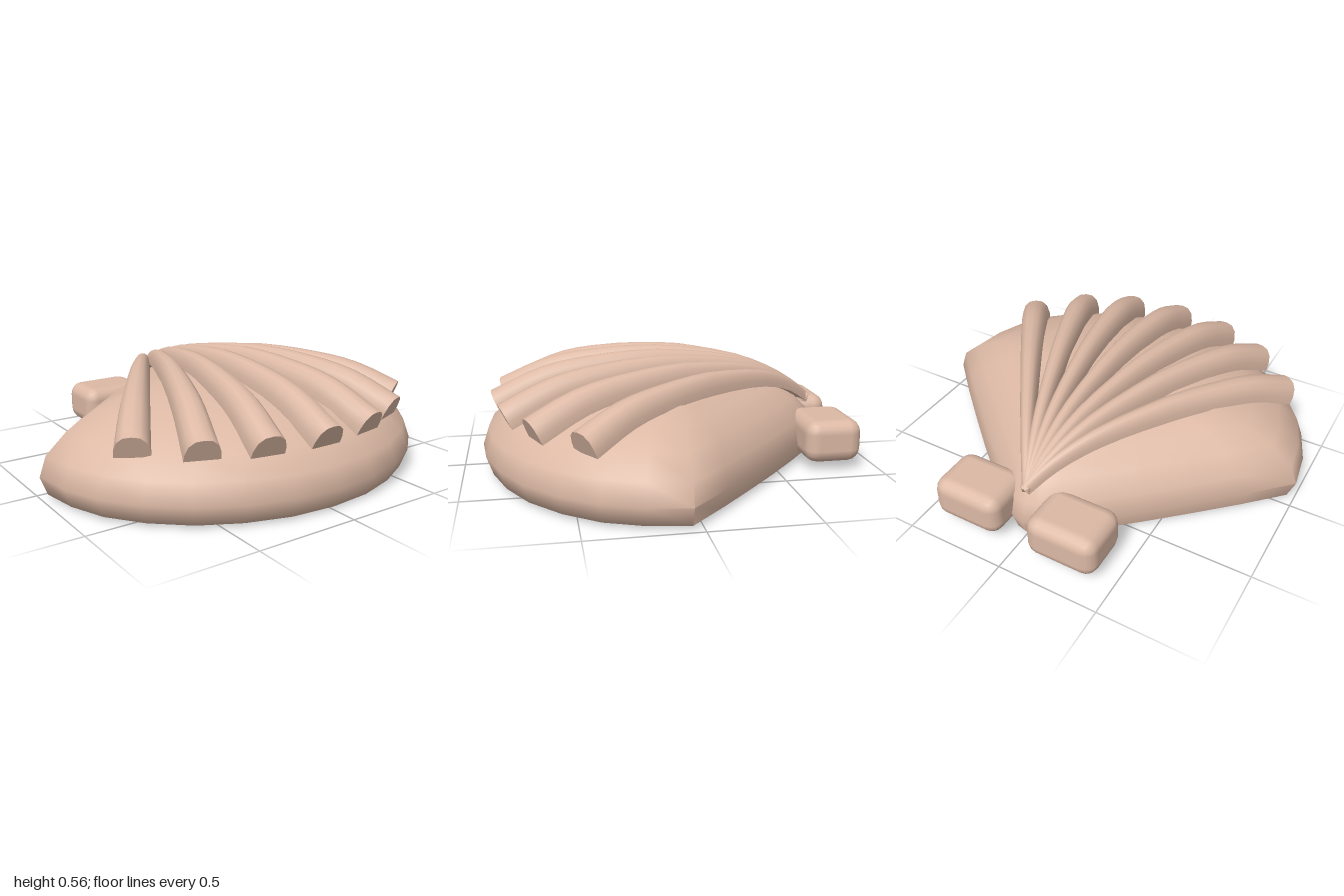
import * as THREE from 'three';
import { toCreasedNormals } from 'three/addons/utils/BufferGeometryUtils.js';
import { RoundedBoxGeometry } from 'three/addons/geometries/RoundedBoxGeometry.js';

// Skin a stack of equal-sized closed rings, with a fan cap at each end
function loft(rings, crease) {
  const n = rings[0].length;
  const pos = [], idx = [];
  rings.forEach(r => r.forEach(p => pos.push(p.x, p.y, p.z)));
  for (let j = 0; j < rings.length - 1; j++) {
    for (let i = 0; i < n; i++) {
      const k = (i + 1) % n;
      const a = j * n + i, b = j * n + k, c = b + n, d = a + n;
      idx.push(a, d, c, a, c, b);
    }
  }
  [0, rings.length - 1].forEach((j, end) => {
    const mid = new THREE.Vector3();
    rings[j].forEach(p => mid.addScaledVector(p, 1 / n));
    const m = pos.length / 3;
    pos.push(mid.x, mid.y, mid.z);
    for (let i = 0; i < n; i++) {
      const a = j * n + i, b = j * n + (i + 1) % n;
      if (end) idx.push(m, b, a);
      else idx.push(m, a, b);
    }
  });
  const geo = new THREE.BufferGeometry();
  geo.setAttribute('position', new THREE.Float32BufferAttribute(pos, 3));
  geo.setIndex(idx);
  return toCreasedNormals(geo, crease);
}

// Fan-shaped domed shell: one outline scaled through several heights
function shellGeometry() {
  const half = [
    [0, -0.805], [0.06, -0.79], [0.13, -0.745], [0.26, -0.64], [0.45, -0.475], [0.64, -0.3],
    [0.82, -0.13], [1, 0.05], [0.97, 0.24], [0.9, 0.42], [0.78, 0.58], [0.62, 0.72],
    [0.43, 0.82], [0.22, 0.885], [0, 0.905],
  ];
  const outline = half.concat(half.slice(1, -1).reverse().map(([x, z]) => [-x, z]));
  const levels = [ // scale, height
    [0.88, 0], [0.965, 0.015], [1, 0.105], [0.965, 0.2], [0.86, 0.29],
    [0.72, 0.36], [0.5, 0.42], [0.25, 0.455], [0.08, 0.465],
  ];
  const rings = levels.map(([s, y]) => outline.map(([x, z]) => new THREE.Vector3(x * s, y, z * s)));
  return loft(rings, 1.05);
}

// Tapered arched rib running from the hinge to (endX, endZ)
function ribGeometry(endX, endZ, arch) {
  const stations = [ // position along rib, base height, thickness
    [0, 0.25, 0.05], [0.1, 0.355, 0.06], [0.25, 0.43, 0.078], [0.5, 0.455, 0.1],
    [0.7, 0.435, 0.1], [0.85, 0.385, 0.105], [1, 0.275, 0.11],
  ];
  const curve = new THREE.CatmullRomCurve3(stations.map(([t, y]) =>
    new THREE.Vector3(endX * t, 0.25 + (y - 0.25) * arch, -0.75 + (endZ + 0.75) * t)));
  const section = [
    [-1, 0], [-0.97, 0.35], [-0.8, 0.72], [-0.45, 0.95], [0, 1],
    [0.45, 0.95], [0.8, 0.72], [0.97, 0.35], [1, 0],
  ];
  const side = new THREE.Vector3(endZ + 0.75, 0, -endX).normalize();
  const rings = [];
  const steps = 18;
  for (let i = 0; i <= steps; i++) {
    const u = i / steps;
    const p = curve.getPoint(u);
    const up = curve.getTangent(u).cross(side).normalize();
    const along = (p.z + 0.75) / (endZ + 0.75);
    const s = u * (stations.length - 1);
    const k = Math.min(Math.floor(s), stations.length - 2);
    const h = THREE.MathUtils.lerp(stations[k][2], stations[k + 1][2], s - k);
    const w = THREE.MathUtils.lerp(0.022, 0.08, along);
    rings.push(section.map(([a, b]) => p.clone().addScaledVector(side, a * w).addScaledVector(up, b * h)));
  }
  return loft(rings, 0.9);
}

export function createModel() {
  const group = new THREE.Group();
  const shellPink = new THREE.MeshStandardMaterial({ color: 0xdcb9a5 });
  shellPink.name = 'shellPink';

  const add = (name, geometry) => {
    const mesh = new THREE.Mesh(geometry, shellPink);
    mesh.name = name;
    group.add(mesh);
    return mesh;
  };

  add('shellBody', shellGeometry());

  // Seven ribs fanning out from the hinge
  add('ribCenter', ribGeometry(0, 0.81, 1));
  const ribs = [[0.285, 0.77, 0.98], [0.535, 0.655, 0.91], [0.75, 0.455, 0.78]];
  ribs.forEach(([x, z, arch], i) => {
    add(`ribLeft${i + 1}`, ribGeometry(x, z, arch));
    add(`ribRight${i + 1}`, ribGeometry(-x, z, arch));
  });

  // Rounded hinge lugs at the back
  for (const s of [1, -1]) {
    add(s > 0 ? 'hingeLeft' : 'hingeRight', new RoundedBoxGeometry(0.355, 0.21, 0.28, 2, 0.065))
      .position.set(s * 0.25, 0.145, -0.77);
  }
  return group;
}
